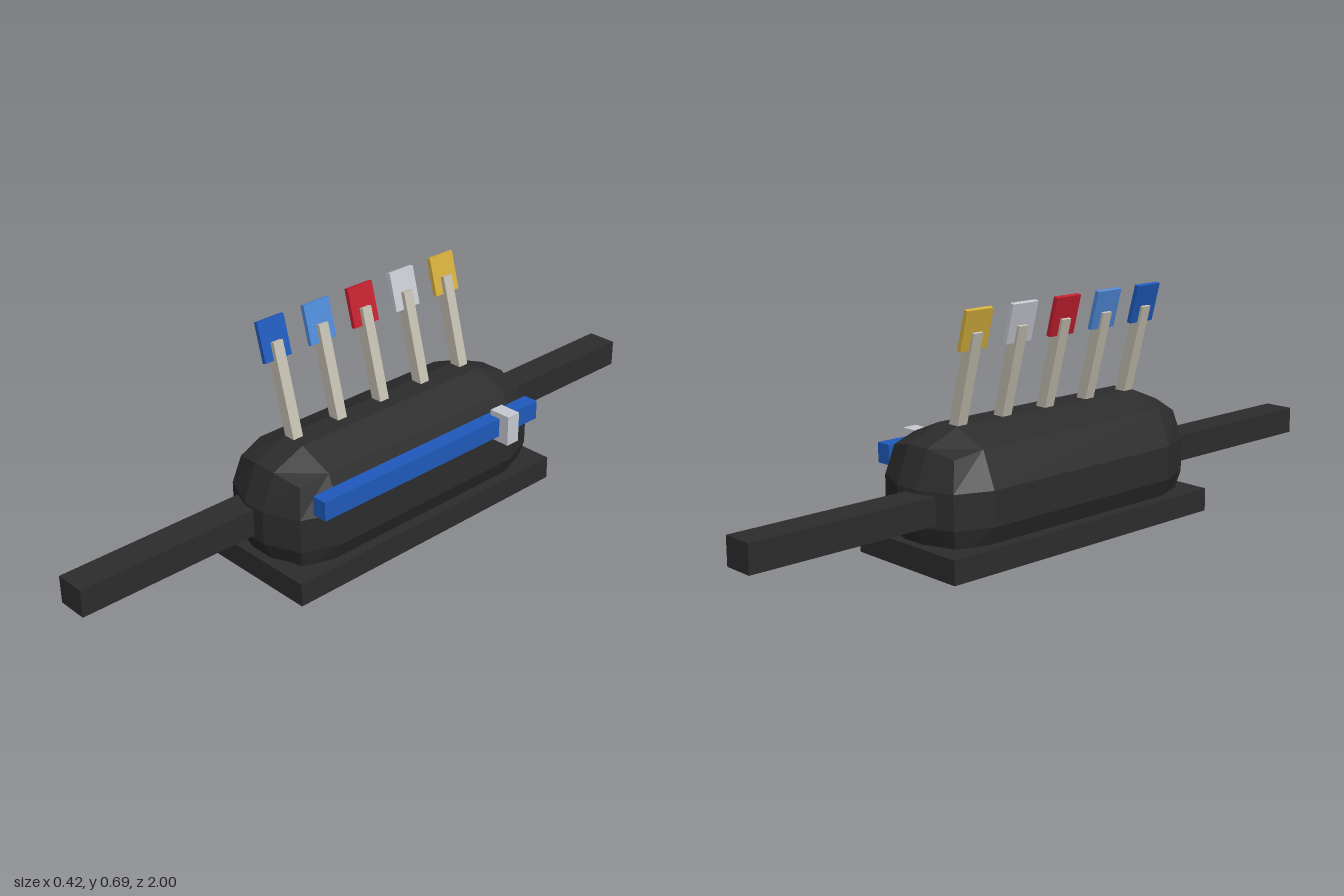
import * as THREE from 'three';
import { RoundedBoxGeometry } from 'three/addons/geometries/RoundedBoxGeometry.js';

function mat(name, color) {
  const m = new THREE.MeshStandardMaterial({ color, flatShading: true });
  m.name = name;
  return m;
}

export function createModel() {
  const group = new THREE.Group();
  group.name = 'leverUnit';

  const black = mat('black', 0x2c2c2c);
  const blue = mat('blue', 0x1f5abc);
  const lightBlue = mat('lightBlue', 0x4f8ad8);
  const red = mat('red', 0xc4202f);
  const silver = mat('silver', 0xc8cad3);
  const yellow = mat('yellow', 0xd6b03c);
  const beige = mat('beige', 0xc4bfb1);

  const add = (name, geometry, material, x, y, z, parent = group) => {
    const mesh = new THREE.Mesh(geometry, material);
    mesh.name = name;
    mesh.position.set(x, y, z);
    parent.add(mesh);
    return mesh;
  };
  const box = (w, h, d) => new THREE.BoxGeometry(w, h, d);

  // Chamfered housing on its flat base plate
  add('housing', new RoundedBoxGeometry(0.355, 0.378, 0.94, 1, 0.141), black, -0.0225, 0.189, 0);
  add('basePlate', box(0.379, 0.066, 0.95), black, -0.0235, 0.057, 0);

  // Long bar running through the housing
  add('crossBar', box(0.089, 0.077, 2), black, -0.0675, 0.1895, 0);

  // Side rail with its slider
  add('sideRail', box(0.045, 0.055, 0.8), blue, 0.1555, 0.2795, 0);
  add('slider', box(0.066, 0.088, 0.044), silver, 0.177, 0.279, -0.267);

  // Row of tilted levers with coloured tabs
  [blue, lightBlue, red, silver, yellow].forEach((tabMaterial, i) => {
    const lever = new THREE.Group();
    lever.name = `lever${i + 1}`;
    lever.position.set(-0.041, 0.378, 0.31 - i * 0.155);
    lever.rotation.z = THREE.MathUtils.degToRad(15);
    add('leverStem', box(0.033, 0.34, 0.032), beige, 0, 0.09, 0, lever);
    add('leverTab', box(0.0125, 0.11, 0.088), tabMaterial, -0.002, 0.266, 0, lever);
    group.add(lever);
  });

  return group;
}
